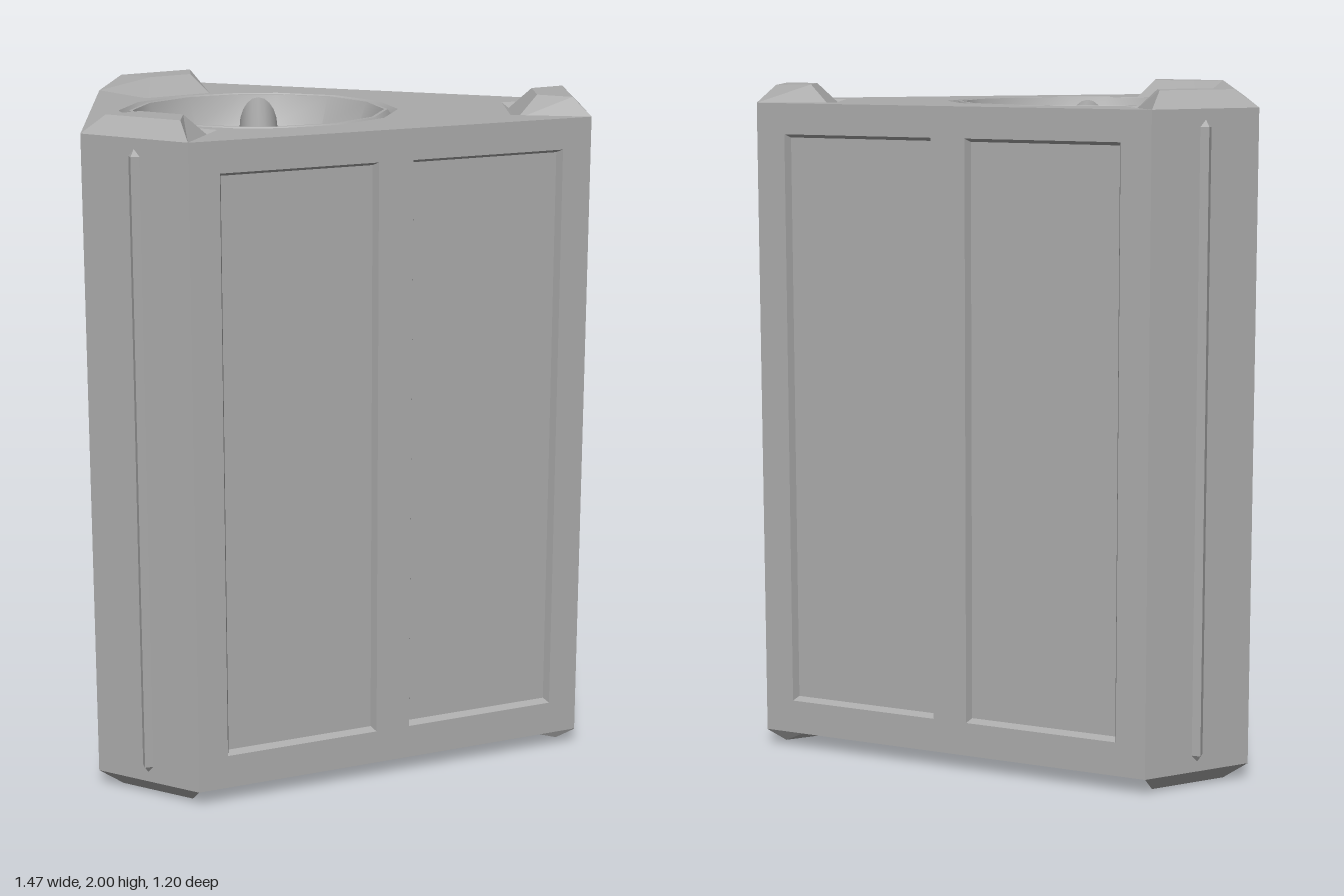
import * as THREE from 'three';
import { toCreasedNormals } from 'three/addons/utils/BufferGeometryUtils.js';

const TOP = 0.95; // half height of the body, measured from its middle

// Stack of equal-sized rings joined by quads; the last ring is capped.
function loft(rings, crease = 0) {
  const pos = [];
  const n = rings[0].length;
  for (let r = 0; r + 1 < rings.length; r++) {
    for (let i = 0; i < n; i++) {
      const j = (i + 1) % n;
      const [a, b, c, d] = [rings[r][i], rings[r][j], rings[r + 1][j], rings[r + 1][i]];
      pos.push(...a, ...b, ...c, ...a, ...c, ...d);
    }
  }
  const cap = rings[rings.length - 1];
  for (let i = 1; i + 1 < n; i++) pos.push(...cap[0], ...cap[i], ...cap[i + 1]);
  const g = new THREE.BufferGeometry();
  g.setAttribute('position', new THREE.Float32BufferAttribute(pos, 3));
  g.computeVertexNormals();
  return crease ? toCreasedNormals(g, crease) : g;
}

// Four-cornered ring: outer edge half width u0 at depth w0, inner edge u1 at w1.
const trapezoid = (u0, w0, y0, u1, w1, y1) =>
  [[-u0, y0, -w0], [u0, y0, -w0], [u1, y1, -w1], [-u1, y1, -w1]];

const rectShape = (target, x, y, w, h) => {
  target.moveTo(x - w, y - h);
  target.lineTo(x + w, y - h);
  target.lineTo(x + w, y + h);
  target.lineTo(x - w, y + h);
  target.closePath();
  return target;
};

export function createModel() {
  const model = new THREE.Group();
  model.name = 'container';
  const grey = new THREE.MeshStandardMaterial({ color: 0xaaaaaa });
  grey.name = 'grey';

  const add = (parent, name, geometry) => {
    const m = new THREE.Mesh(geometry, grey);
    m.name = name;
    parent.add(m);
    return m;
  };

  const body = new THREE.Group();
  body.name = 'body';
  body.position.y = 1;
  model.add(body);

  // Group standing on a wall: x along the wall, y up, z outward
  const wallFrame = (name, [ax, az], [bx, bz]) => {
    const f = new THREE.Group();
    f.name = name;
    f.position.set((ax + bx) / 2, 0, (az + bz) / 2);
    f.rotation.y = Math.atan2(-(bz - az), bx - ax);
    f.userData.half = Math.hypot(bx - ax, bz - az) / 2;
    body.add(f);
    return f;
  };

  // Plan outline, in order around the body
  const plan = [[-0.435, 0.6], [0.715, 0.17], [0.715, -0.17],
    [-0.435, -0.6], [-0.735, -0.43], [-0.735, 0.43]];

  // Three broad sides, each with two recessed panels
  const sides = [['frontSide', 0, 0.09, 0.053], ['backSide', 2, 0.09, 0.053], ['endSide', 4, 0.088, 0.027]];
  for (const [name, i, margin, gap] of sides) {
    const f = wallFrame(name, plan[i], plan[i + 1]);
    const half = f.userData.half;
    const w = (half - margin - gap) / 2;
    const h = 0.855;
    const shape = rectShape(new THREE.Shape(), 0, 0, half, TOP);
    for (const s of [-1, 1]) {
      const x = s * (gap + w);
      shape.holes.push(rectShape(new THREE.Path(), x, 0.005, w, h));
      const ring = (inset, y) => trapezoid(w - inset, -(h - inset), y, w - inset, h - inset, y);
      const panel = loft([ring(0, 0), ring(0.01, -0.022)]).rotateX(Math.PI / 2);
      add(f, 'recessedPanel', panel).position.set(x, 0.005, 0);
    }
    add(f, 'sideFrame', new THREE.ShapeGeometry(shape));
  }

  // Three narrow corners with a ridge strip and feet at both ends
  const stripProfile = [[0, -0.92], [0.018, -0.9], [0.018, 0.9], [0, 0.92]]
    .map(([x, y]) => new THREE.Vector2(x, y));
  const strip = new THREE.LatheGeometry(stripProfile, 4).toNonIndexed();
  strip.computeVertexNormals();
  const foot = loft([
    trapezoid(0.172, 0, TOP, 0.13, 0.23, TOP),
    trapezoid(0.172, 0, TOP, 0.112, 0.21, TOP - 0.015),
    trapezoid(0.12, 0.05, 1, 0.07, 0.147, 1),
  ]);
  const notches = [];
  for (const [name, i] of [['leftCorner', 1], ['backCorner', 3], ['frontCorner', 5]]) {
    const f = wallFrame(name, plan[i], plan[(i + 1) % 6]);
    add(f, 'cornerFace', new THREE.PlaneGeometry(2 * f.userData.half, 2 * TOP));
    add(f, 'ridgeStrip', strip);
    add(f, 'upperFoot', foot);
    add(f, 'lowerFoot', foot).rotation.z = Math.PI;
    // Cap outline steps inward around each foot
    f.updateMatrix();
    for (const [u, w] of [[-0.172, 0], [-0.13, 0.23], [0.13, 0.23], [0.172, 0]]) {
      const p = new THREE.Vector3(u, 0, -w).applyMatrix4(f.matrix);
      notches.push(new THREE.Vector2(p.x, -p.z));
    }
  }

  // Fourteen-sided opening, listed around the circle
  const quarter = [[0.41, 0], [0.36, 0.17], [0.235, 0.295], [0.06, 0.355]];
  const upper = [...quarter, ...quarter.map(([x, z]) => [-x, z]).reverse()];
  const opening = [...upper, ...upper.slice(1, -1).map(([x, z]) => [x, -z]).reverse()].reverse();
  const cx = -0.243;

  // Flat caps; only the upper one is open
  const lidShape = new THREE.Shape(notches);
  const baseShape = new THREE.Shape(notches);
  lidShape.holes.push(new THREE.Path(opening.map(([x, z]) => new THREE.Vector2(cx + x, -z))));
  const capGeometry = (s) => new THREE.ShapeGeometry(s).rotateX(-Math.PI / 2).translate(0, TOP, 0);
  add(body, 'lid', capGeometry(lidShape));
  add(body, 'base', capGeometry(baseShape)).rotation.x = Math.PI;

  // Grooved rim running down into a smooth bowl
  const profile = [[1, TOP], [0.96, TOP - 0.02], [0.925, TOP], [0.9, TOP],
    [0.82, 0.865], [0.68, 0.815], [0.5, 0.78], [0.25, 0.762]];
  const bowl = loft(profile.map(([s, y]) => opening.map(([x, z]) => [x * s, y, z * s])), 0.55);
  add(body, 'handleBowl', bowl).position.x = cx;

  // Rounded grip across the bowl
  const grip = new THREE.CylinderGeometry(0.058, 0.058, 0.65, 20).rotateX(Math.PI / 2).scale(1, 1.5, 1);
  add(body, 'gripBar', grip).position.set(cx, 0.855, 0);

  return model;
}
